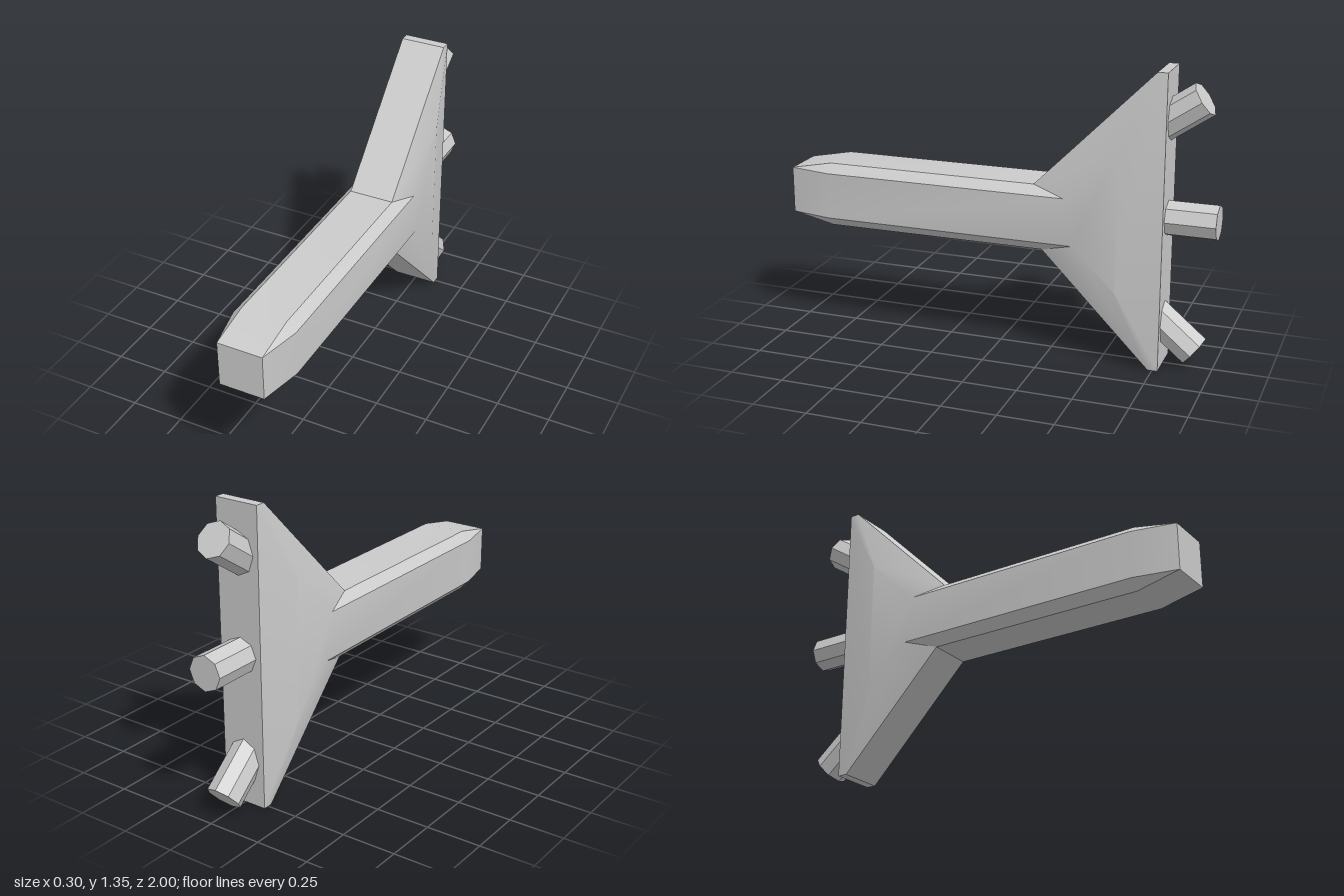
import * as THREE from 'three';
import { toCreasedNormals } from 'three/addons/utils/BufferGeometryUtils.js';

const EDGE_X = 0.105; // half width at the outline
const SIDE_X = 0.148; // half width on the flat of the sides

// Side profile as [z, y]: each outline corner paired with its inset corner
const PROFILE = [
  [[0.8, 0.81], [0.8, 0.77]],
  [[-0.19, 0.81], [-0.34, 0.77]],
  [[-0.73, 1.35], [-0.58, 1.0]],
  [[-0.775, 1.35], [-0.58, 1.0]],
  [[-0.775, 0], [-0.58, 0.36]],
  [[-0.73, 0], [-0.58, 0.36]],
  [[-0.23, 0.51], [-0.38, 0.555]],
  [[0.8, 0.51], [0.8, 0.555]],
  [[1, 0.555], [0.8, 0.555]],
  [[1, 0.77], [0.8, 0.77]],
];

function bodyGeometry() {
  const positions = [];
  const triangle = (a, b, c) => {
    const area = new THREE.Triangle(a, b, c).getArea();
    if (area > 1e-7) for (const p of [a, b, c]) positions.push(p.x, p.y, p.z);
  };
  const quad = (a, b, c, d) => { triangle(a, b, c); triangle(a, c, d); };
  const at = (x, [z, y]) => new THREE.Vector3(x, y, z);
  const n = PROFILE.length;

  for (let i = 0; i < n; i++) {
    const [o1, i1] = PROFILE[i];
    const [o2, i2] = PROFILE[(i + 1) % n];
    // Rim across the width, then the bevel on each side
    quad(at(EDGE_X, o1), at(EDGE_X, o2), at(-EDGE_X, o2), at(-EDGE_X, o1));
    quad(at(EDGE_X, o1), at(SIDE_X, i1), at(SIDE_X, i2), at(EDGE_X, o2));
    quad(at(-EDGE_X, o1), at(-EDGE_X, o2), at(-SIDE_X, i2), at(-SIDE_X, i1));
  }

  // Flat sides: one panel along the bar, one on the flared head
  for (const panel of [[0, 1, 6, 7], [1, 2, 4, 6]]) {
    const inner = panel.map((i) => PROFILE[i][1]);
    quad(...inner.map((p) => at(-SIDE_X, p)));
    quad(...inner.map((p) => at(SIDE_X, p)).reverse());
  }

  const geometry = new THREE.BufferGeometry();
  geometry.setAttribute('position', new THREE.Float32BufferAttribute(positions, 3));
  return toCreasedNormals(geometry, 0.42);
}

// Octagonal peg whose outer end is centred at (y, z), tilted up by an angle
function makePeg(name, y, z, degrees, material) {
  const length = 0.27;
  const geometry = new THREE.CylinderGeometry(0.08, 0.08, length, 8);
  geometry.translate(0, -length / 2, 0);
  const peg = new THREE.Mesh(geometry, material);
  peg.name = name;
  peg.position.set(0, y, z);
  peg.rotation.x = THREE.MathUtils.degToRad(degrees - 90);
  return peg;
}

export function createModel() {
  const model = new THREE.Group();
  model.name = 'flaredHandle';
  const smooth = new THREE.MeshStandardMaterial({ color: 0xcccccc });
  const flat = new THREE.MeshStandardMaterial({ color: 0xcccccc, flatShading: true });

  const body = new THREE.Mesh(bodyGeometry(), smooth);
  body.name = 'barAndFlaredHead';
  model.add(body);

  // Three pegs fanned out behind the head
  model.add(makePeg('upperPeg', 1.228, -0.916, 34, flat));
  model.add(makePeg('middlePeg', 0.687, -1, 0, flat));
  model.add(makePeg('lowerPeg', 0.08, -0.914, -40, flat));
  return model;
}
